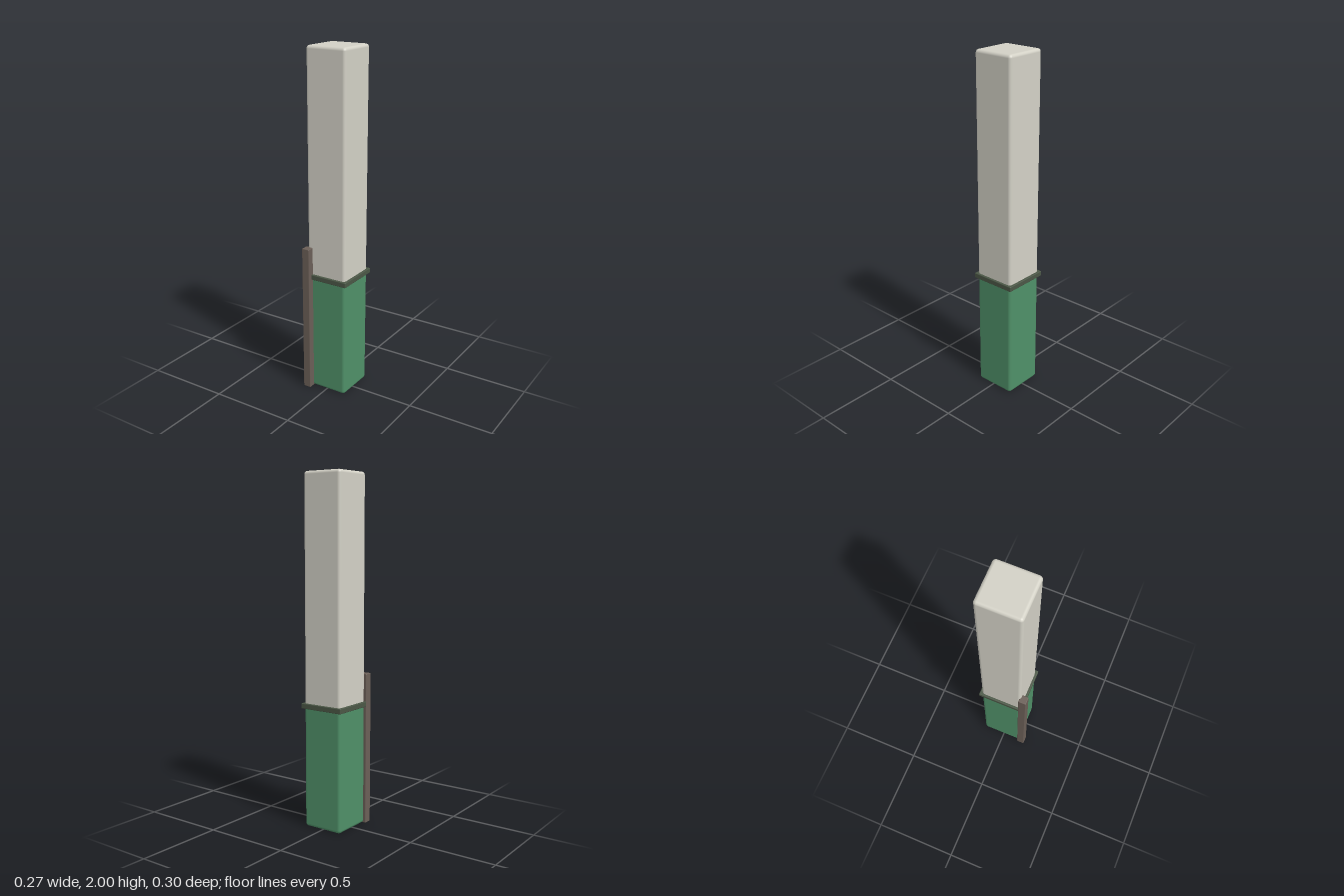
import * as THREE from 'three';
import { RoundedBoxGeometry } from 'three/addons/geometries/RoundedBoxGeometry.js';

const material = (name, color) => {
  const m = new THREE.MeshStandardMaterial({ color });
  m.name = name;
  return m;
};

export function createModel() {
  const group = new THREE.Group();
  group.name = 'markerPost';

  const paleGrey = material('pale grey', 0xd3d1c6);
  const green = material('green', 0x4f9068);
  const darkGreen = material('dark olive green', 0x4b5746);
  const brown = material('brown', 0x6b5f57);

  // Rounded block given by its size, bottom height and centre on x and z
  function block(name, mat, [w, h, d], x, bottom, z, radius) {
    const mesh = new THREE.Mesh(new RoundedBoxGeometry(w, h, d, 2, radius), mat);
    mesh.name = name;
    mesh.position.set(x, bottom + h / 2, z);
    group.add(mesh);
  }

  const postZ = -0.0135;

  // Square post: green sleeve below, pale shaft above, collar over the joint
  block('lowerSleeve', green, [0.246, 0.715, 0.246], 0, 0, postZ, 0.018);
  block('upperShaft', paleGrey, [0.246, 1.31, 0.246], 0, 0.69, postZ, 0.018);
  block('collar', darkGreen, [0.272, 0.03, 0.272], 0, 0.69, postZ, 0.004);

  // Slim stake against the front right corner
  block('stake', brown, [0.047, 0.88, 0.047], -0.1135, 0, 0.1245, 0.004);

  return group;
}
